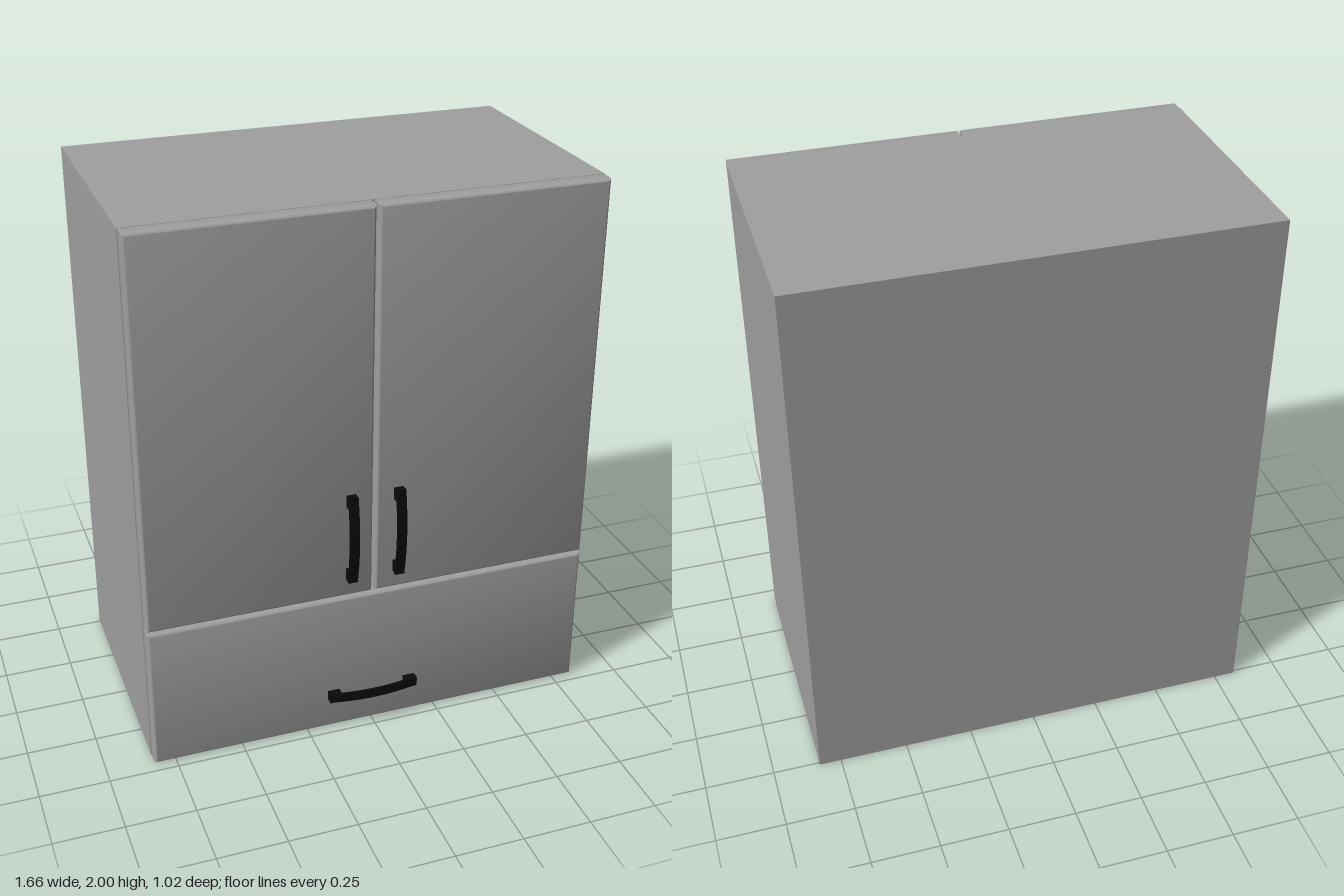
import * as THREE from 'three';
import { toCreasedNormals } from 'three/addons/utils/BufferGeometryUtils.js';

const FRONT = 0.405; // front plane of the carcass
const PANEL = 0.06; // thickness of doors and drawer front
const ROUND = 0.015; // rounding of the panel edges

export function createModel() {
  const group = new THREE.Group();
  group.name = 'wallCabinet';

  const grey = new THREE.MeshStandardMaterial({ color: 0xa0a0a0 });
  grey.name = 'cabinetGrey';
  const black = new THREE.MeshStandardMaterial({ color: 0x0a0a0a });
  black.name = 'handleBlack';

  function add(parent, name, geometry, material, x = 0, y = 0, z = 0) {
    const mesh = new THREE.Mesh(geometry, material);
    mesh.name = name;
    mesh.position.set(x, y, z);
    parent.add(mesh);
    return mesh;
  }

  // Closed carcass
  add(group, 'carcass', new THREE.BoxGeometry(1.66, 2, 0.915), grey, 0, 1, FRONT - 0.4575);

  // Front panel with rounded front edges; its rear bevel is sunk in the carcass
  function panel(name, x0, x1, y0, y1) {
    const r = ROUND;
    const shape = new THREE.Shape([
      new THREE.Vector2(x0 + r, y0 + r),
      new THREE.Vector2(x1 - r, y0 + r),
      new THREE.Vector2(x1 - r, y1 - r),
      new THREE.Vector2(x0 + r, y1 - r),
    ]);
    const geometry = new THREE.ExtrudeGeometry(shape, {
      depth: PANEL - r, bevelEnabled: true, bevelSize: r, bevelThickness: r, bevelSegments: 5,
    });
    add(group, name, toCreasedNormals(geometry, 0.6), grey, 0, 0, FRONT);
  }
  panel('rightDoor', -0.828, -0.005, 0.56, 1.999);
  panel('leftDoor', 0.005, 0.828, 0.56, 1.999);
  panel('drawerFront', -0.828, 0.828, 0.002, 0.55);

  // Bow handle: two feet and a thin curved bar, lying along x
  function handle(name, x, y, turn) {
    const h = new THREE.Group();
    h.name = name;
    for (const s of [-1, 1]) {
      add(h, 'handleFoot', new THREE.BoxGeometry(0.045, 0.034, 0.032), black, s * 0.147, 0, 0.015);
    }
    const bow = new THREE.Shape();
    bow.moveTo(-0.17, 0.018);
    bow.quadraticCurveTo(0, 0.056, 0.17, 0.018);
    bow.lineTo(0.17, 0.026);
    bow.quadraticCurveTo(0, 0.064, -0.17, 0.026);
    const bar = new THREE.ExtrudeGeometry(bow, { depth: 0.036, bevelEnabled: false, curveSegments: 16 });
    bar.translate(0, 0, -0.018);
    bar.rotateX(Math.PI / 2);
    add(h, 'handleBar', toCreasedNormals(bar, 0.6), black);
    h.position.set(x, y, FRONT + PANEL);
    h.rotation.z = turn;
    group.add(h);
  }
  handle('rightDoorHandle', -0.088, 0.8, Math.PI / 2);
  handle('leftDoorHandle', 0.088, 0.8, Math.PI / 2);
  handle('drawerHandle', -0.004, 0.145, 0);

  return group;
}
